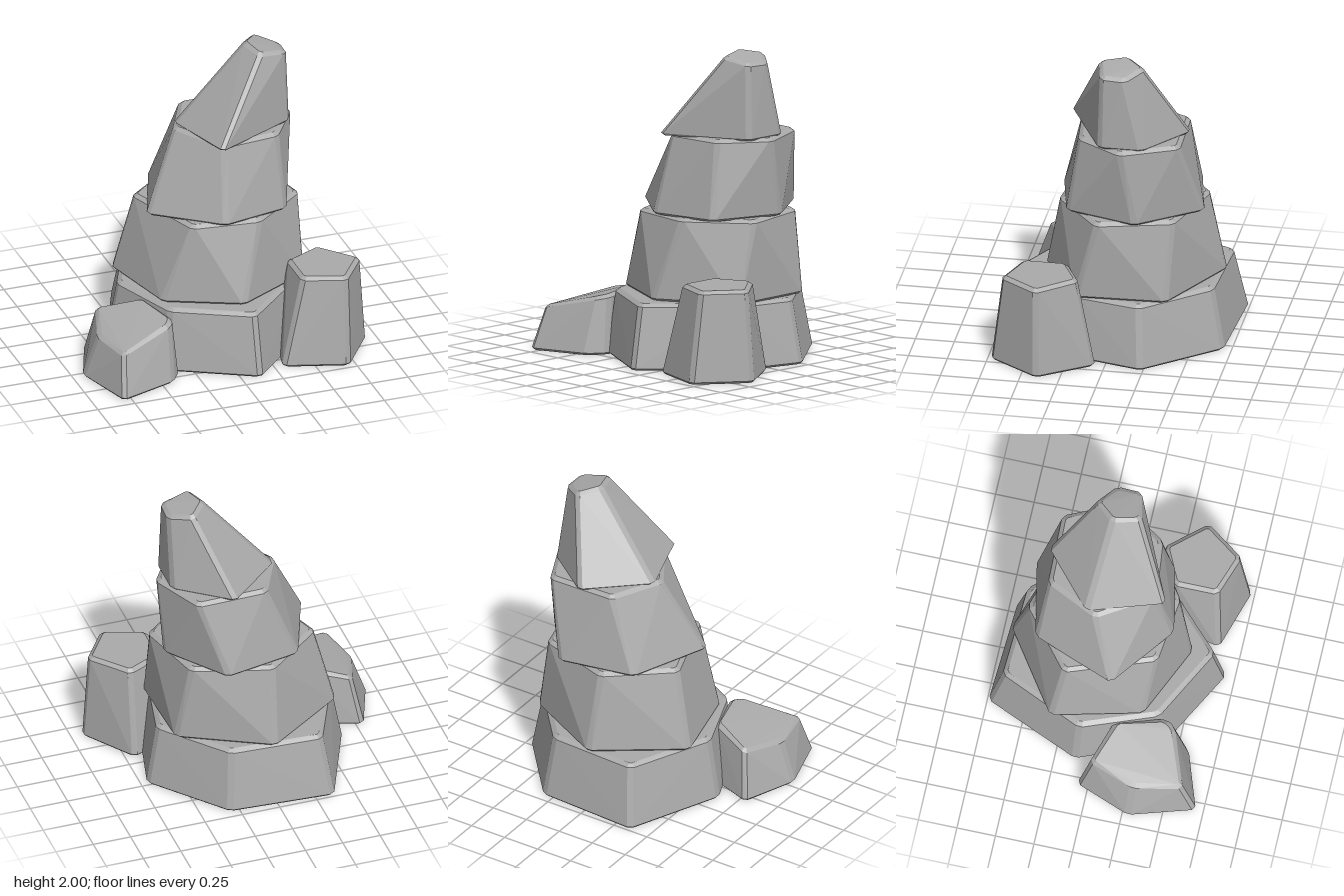
import * as THREE from 'three';
import { ConvexGeometry } from 'three/addons/geometries/ConvexGeometry.js';

const CUT = 0.024; // corner chamfer

// Moves a corner away from (or towards) the middle of its ring.
function offsetRing(ring, amount) {
  const mid = ring.reduce((m, p) => m.add(p), new THREE.Vector3()).divideScalar(ring.length);
  return ring.map((p) => {
    const d = p.clone().sub(mid);
    d.y = 0;
    return p.clone().addScaledVector(d.normalize(), amount);
  });
}

// Replaces each corner with two points, cutting it off.
function chamferRing(ring, cut) {
  const n = ring.length;
  return ring.flatMap((p, i) => [ring[(i + n - 1) % n], ring[(i + 1) % n]].map((q) => {
    const d = q.clone().sub(p);
    return p.clone().addScaledVector(d.normalize(), cut);
  }));
}

// A chiselled block between a bottom and a top outline, with bevelled edges.
// Outline corners are [x, z] or [x, z, y].
function rock(name, material, y0, y1, bottom, top) {
  const toRing = (list, y) => list.map(([x, z, h = y]) => new THREE.Vector3(x, h, z));
  const ring = (list, grow, dy, cut) => chamferRing(
    offsetRing(list, grow).map((p) => p.setY(p.y + dy)), cut);
  const b = toRing(bottom, y0), t = toRing(top, y1);
  const points = [
    ...ring(b, -0.002, 0, CUT),
    ...ring(b, 0.013, 0.014, CUT),
    ...ring(t, 0.013, -0.02, CUT),
    ...ring(t, -0.02, 0, CUT * 0.5),
  ];
  const mesh = new THREE.Mesh(new ConvexGeometry(points), material);
  mesh.name = name;
  return mesh;
}

export function createModel() {
  const model = new THREE.Group();
  model.name = 'rockSpire';
  const stone = new THREE.MeshStandardMaterial({ color: 0xaaaaaa });
  stone.name = 'grey stone';

  // Wide base slab
  model.add(rock('baseRock', stone, 0, 0.42,
    [[-0.36, -0.73], [0.31, -0.69], [0.7, -0.23], [0.59, 0.21], [0.12, 0.68], [-0.4, 0.4], [-0.62, -0.12]],
    [[-0.31, -0.65], [0.28, -0.62], [0.63, -0.21], [0.54, 0.19], [0.11, 0.61], [-0.37, 0.36], [-0.55, -0.11]]));

  // Two twisted middle tiers
  model.add(rock('lowerTier', stone, 0.42, 0.955,
    [[0, -0.66], [-0.52, -0.3], [-0.38, 0.26], [0.09, 0.47], [0.58, 0.2], [0.56, -0.37]],
    [[-0.02, -0.55], [-0.4, -0.24], [-0.2, 0.31], [0.23, 0.36], [0.59, 0.07], [0.47, -0.4]]));
  model.add(rock('upperTier', stone, 0.95, 1.465,
    [[-0.41, 0.06], [-0.21, -0.46], [0.28, -0.56], [0.57, -0.17], [0.43, 0.28], [0, 0.37]],
    [[-0.18, -0.09], [-0.02, -0.42], [0.43, -0.43], [0.59, -0.08], [0.4, 0.21], [0.03, 0.25]]));

  // Leaning peak with a sloped tip
  model.add(rock('peakRock', stone, 1.455, 2,
    [[-0.15, -0.15], [0.2, -0.46], [0.53, -0.21], [0.53, 0.06], [0, 0.32]],
    [[0.28, -0.08, 2], [0.39, -0.2, 1.98], [0.52, -0.1, 1.95], [0.515, 0.05, 1.955], [0.33, 0.09, 1.985]]));

  // Low boulder with a sloped top
  model.add(rock('lowBoulder', stone, 0, 0.35,
    [[-0.92, 0.29], [-0.79, -0.06], [-0.45, 0.06], [-0.36, 0.45], [-0.43, 0.56], [-0.8, 0.69]],
    [[-0.83, 0.3, 0.285], [-0.74, 0.01, 0.33], [-0.47, 0.11, 0.39], [-0.385, 0.41, 0.38], [-0.42, 0.47, 0.37], [-0.77, 0.6, 0.285]]));

  // Tall five-sided boulder
  model.add(rock('tallBoulder', stone, 0, 0.595,
    [[0.92, 0.4], [0.69, 0.07], [0.39, 0.2], [0.31, 0.6], [0.7, 0.72]],
    [[0.88, 0.41], [0.68, 0.18], [0.45, 0.29], [0.45, 0.56], [0.71, 0.65]]));

  return model;
}
